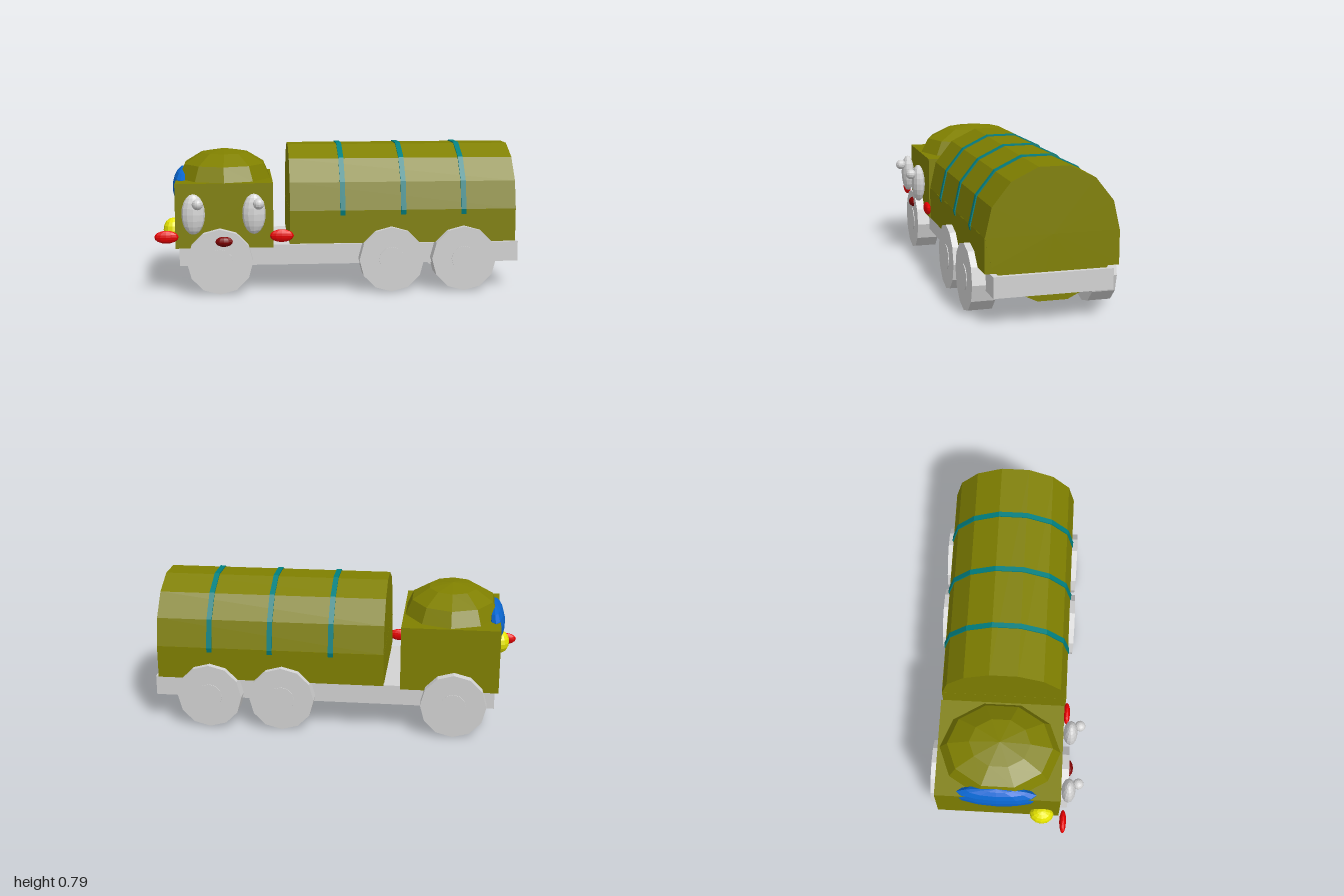
import * as THREE from 'three';

const mat = (name, color) => {
  const m = new THREE.MeshStandardMaterial({ color, flatShading: true });
  m.name = name;
  return m;
};

export function createModel() {
  const olive = mat('olive', 0x808000);
  const grey = mat('light grey', 0xd3d3d3);
  const teal = mat('teal', 0x008080);
  const red = mat('red', 0xf00000);
  const darkRed = mat('dark red', 0x800000);
  const blue = mat('blue', 0x0a66d0);
  const yellow = mat('yellow', 0xf2f000);

  const truck = new THREE.Group();
  truck.name = 'tankTruck';
  const midZ = -0.034; // centre line of the truck body

  const add = (name, geometry, material, x, y, z) => {
    const mesh = new THREE.Mesh(geometry, material);
    mesh.name = name;
    mesh.position.set(x, y, z);
    truck.add(mesh);
    return mesh;
  };
  const box = (name, material, x0, x1, y0, y1, halfZ) =>
    add(name, new THREE.BoxGeometry(x1 - x0, y1 - y0, halfZ * 2), material,
      (x0 + x1) / 2, (y0 + y1) / 2, midZ);
  const ellipsoid = (name, material, x, y, z, rx, ry, rz, segments = 12, rings = 8) =>
    add(name, new THREE.SphereGeometry(1, segments, rings).scale(rx, ry, rz), material, x, y, z);

  // Chassis and cab
  box('chassis', grey, -0.87, 1, 0.147, 0.257, 0.312);
  box('cab', olive, -0.89, -0.36, 0.247, 0.6, 0.336);
  const roof = new THREE.SphereGeometry(1, 10, 3, 0, Math.PI * 2, 0, Math.PI / 2);
  roof.rotateY(Math.PI / 2).scale(0.268, 0.162, 0.325);
  add('cabRoof', roof, olive, -0.625, 0.6, midZ);

  // Tank: fourteen-sided barrel on a square-sided base, with three straps
  const barrel = (radius, length) =>
    new THREE.CylinderGeometry(radius, radius, length, 14).rotateZ(Math.PI / 2);
  add('tank', barrel(0.348, 1.245), olive, 0.353, 0.447, midZ);
  box('tankBase', olive, -0.27, 0.975, 0.267, 0.447, 0.349);
  for (const x of [0.018, 0.352, 0.685]) {
    add('tankStrap', barrel(0.355, 0.028), teal, x, 0.447, midZ);
  }

  // Wheels with slightly raised hubs
  const wheel = new THREE.CylinderGeometry(0.178, 0.178, 0.125, 12).rotateX(Math.PI / 2);
  const hub = new THREE.CylinderGeometry(0.07, 0.07, 0.132, 12).rotateX(Math.PI / 2);
  for (const x of [-0.65, 0.285, 0.685]) {
    for (const side of [-1, 1]) {
      const z = midZ + side * 0.321;
      add('wheel', wheel, grey, x, 0.178, z);
      add('wheelHub', hub, grey, x, 0.178, z);
    }
  }

  // Face on the side of the cab
  for (const x of [-0.79, -0.465]) {
    ellipsoid('eye', grey, x, 0.44, 0.346, 0.063, 0.11, 0.039, 12, 10);
    ellipsoid('pupil', grey, x + 0.025, 0.5, 0.395, 0.03, 0.03, 0.03);
  }
  ellipsoid('nose', darkRed, -0.627, 0.29, 0.342, 0.05, 0.029, 0.031);
  for (const x of [-0.936, -0.315]) {
    ellipsoid('sideLamp', red, x, 0.315, 0.325, 0.065, 0.035, 0.019);
  }

  // Windscreen and headlamp at the end of the cab
  const windscreen = ellipsoid('windscreen', blue, -0.868, 0.567, -0.04, 0.048, 0.095, 0.23);
  windscreen.rotation.z = -0.15;
  ellipsoid('headlamp', yellow, -0.905, 0.338, 0.207, 0.053, 0.066, 0.066);

  return truck;
}
